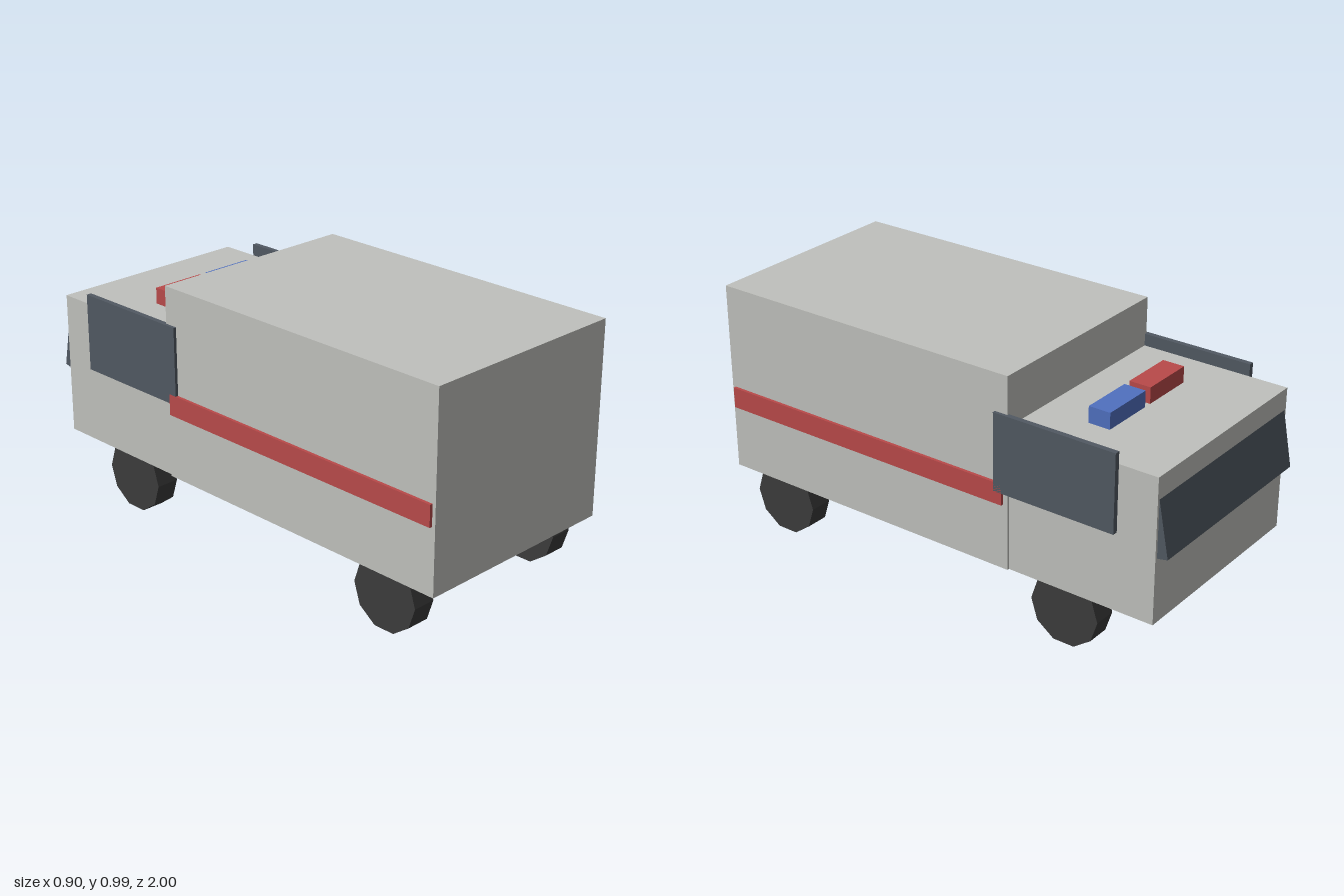
import * as THREE from 'three';

const mat = (name, color) => {
  const m = new THREE.MeshStandardMaterial({ color, flatShading: true });
  m.name = name;
  return m;
};

export function createModel() {
  const group = new THREE.Group();
  const paint = mat('bodyGrey', 0xc0c1bd);
  const red = mat('red', 0xb94a4a);
  const blue = mat('blue', 0x5070c0);
  const glass = mat('darkGlass', 0x515962);
  const rubber = mat('rubber', 0x3c3c3c);

  // Box given by its minimum and maximum corners
  const box = (name, material, [x0, y0, z0], [x1, y1, z1]) => {
    const mesh = new THREE.Mesh(new THREE.BoxGeometry(x1 - x0, y1 - y0, z1 - z0), material);
    mesh.position.set((x0 + x1) / 2, (y0 + y1) / 2, (z0 + z1) / 2);
    mesh.name = name;
    group.add(mesh);
    return mesh;
  };

  // Tall cargo compartment and lower cab
  box('cargoBody', paint, [-0.437, 0.223, -0.343], [0.437, 0.994, 1]);
  box('cab', paint, [-0.428, 0.223, -0.958], [0.428, 0.798, -0.343]);

  // Tilted windshield, its lower edge standing out from the cab
  const windshield = new THREE.Mesh(new THREE.BoxGeometry(0.836, 0.26, 0.05), glass);
  windshield.name = 'windshield';
  windshield.position.set(0, 0.615, -0.951);
  windshield.rotation.x = 0.19;
  group.add(windshield);

  // Roof beacons
  box('redBeacon', red, [-0.238, 0.79, -0.635], [-0.016, 0.863, -0.545]);
  box('blueBeacon', blue, [0.016, 0.79, -0.635], [0.238, 0.863, -0.545]);

  // Decagonal wheel, axle along x
  const wheelGeo = new THREE.CylinderGeometry(0.144, 0.144, 0.094, 10);
  wheelGeo.rotateY(Math.PI / 2);
  wheelGeo.rotateZ(Math.PI / 2);
  // Put a corner on the horizontal, leaving a flat side on the ground
  wheelGeo.computeBoundingBox();
  if (wheelGeo.boundingBox.max.y > 0.14) wheelGeo.rotateX(Math.PI / 2);

  for (const [side, s] of [['left', 1], ['right', -1]]) {
    // Side window panel and stripe, mirrored
    const a = s > 0 ? 0.428 : -0.449;
    const b = s > 0 ? 0.449 : -0.428;
    box(side + 'Window', glass, [a, 0.535, -0.8], [b, 0.846, -0.288]);
    box(side + 'Stripe', red, [a, 0.487, -0.324], [b, 0.572, 0.986]);

    for (const [end, z] of [['cab', -0.584], ['cargo', 0.764]]) {
      const wheel = new THREE.Mesh(wheelGeo, rubber);
      wheel.name = `${side}${end === 'cab' ? 'Cab' : 'Cargo'}Wheel`;
      wheel.position.set(s * 0.376, 0.137, z);
      group.add(wheel);
    }
  }
  return group;
}
